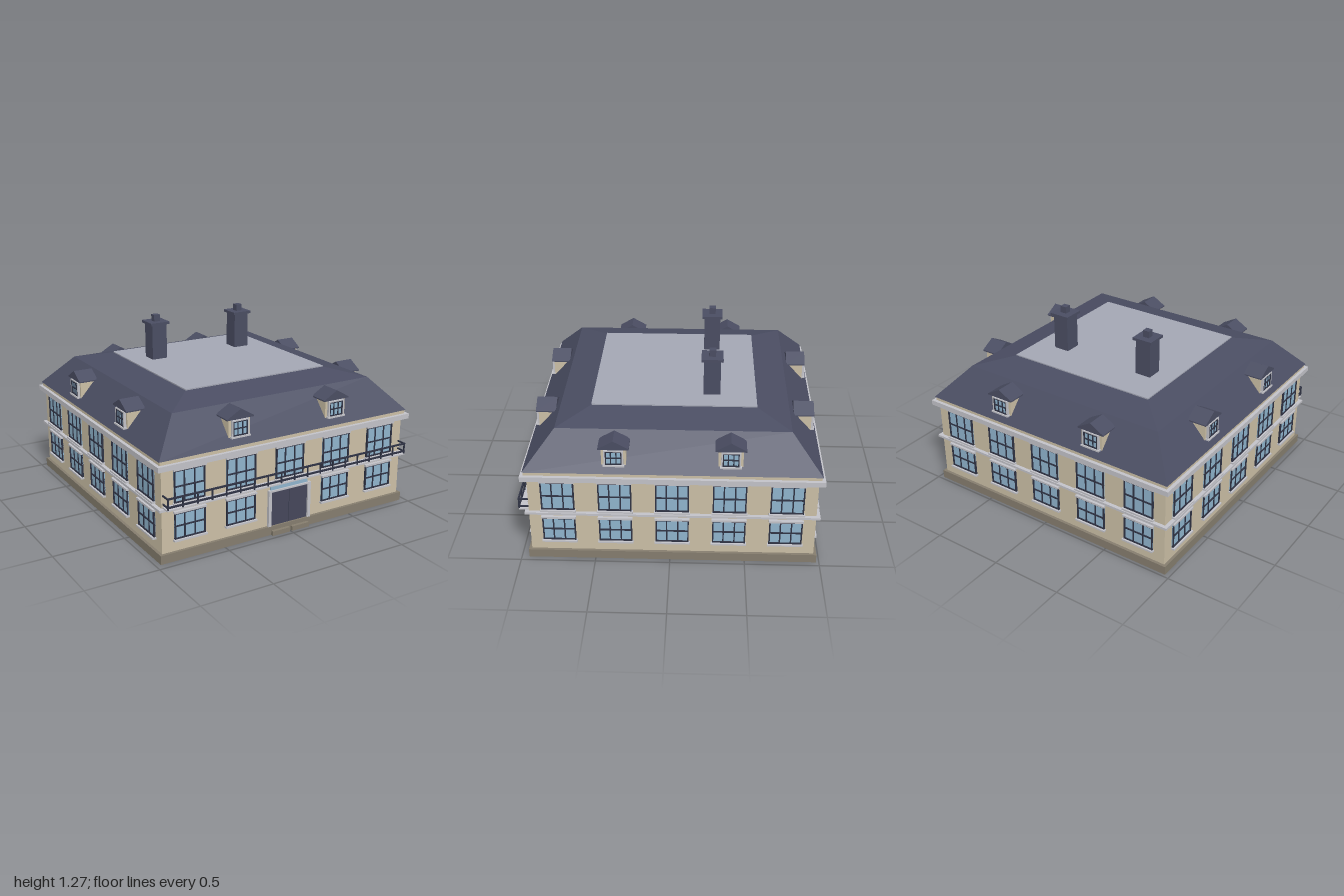
import * as THREE from 'three';

const mat = (name, color) => {
  const m = new THREE.MeshStandardMaterial({ color });
  m.name = name;
  return m;
};

export function createModel() {
  const wall = mat('sandstone', 0xcbbfa6);
  const stone = mat('plinth stone', 0x857d6e);
  const trim = mat('light grey trim', 0xc2c2c8);
  const slate = mat('slate', 0x4a4d62);
  const flat = mat('flat roof', 0xa3a6b3);
  const glass = mat('glass', 0x8fb4cd);
  const iron = mat('dark frame', 0x2f3344);
  const doorMat = mat('door', 0x45475b);

  const model = new THREE.Group();
  model.name = 'mansion';
  const house = new THREE.Group();
  house.name = 'house';
  house.position.z = -0.015;
  model.add(house);

  // Box given by its extents
  const box = (parent, name, m, x0, x1, y0, y1, z0, z1) => {
    const mesh = new THREE.Mesh(new THREE.BoxGeometry(x1 - x0, y1 - y0, z1 - z0), m);
    mesh.position.set((x0 + x1) / 2, (y0 + y1) / 2, (z0 + z1) / 2);
    mesh.name = name;
    parent.add(mesh);
  };
  const slab = (name, m, half, y0, y1) => box(house, name, m, -half, half, y0, y1, -half, half);
  // Four-sided sloping roof tier
  const tier = (name, m, h0, h1, y0, y1) => {
    const g = new THREE.CylinderGeometry(h1 * Math.SQRT2, h0 * Math.SQRT2, y1 - y0, 4)
      .rotateY(Math.PI / 4).toNonIndexed();
    g.computeVertexNormals();
    const mesh = new THREE.Mesh(g, m);
    mesh.position.y = (y0 + y1) / 2;
    mesh.name = name;
    house.add(mesh);
  };

  // Main body
  slab('plinth', stone, 0.965, 0, 0.06);
  slab('walls', wall, 0.945, 0.06, 0.66);
  slab('beltCourse', trim, 0.97, 0.352, 0.368);
  slab('cornice', trim, 0.983, 0.62, 0.655);
  slab('frieze', wall, 0.96, 0.655, 0.68);

  // Mansard roof
  tier('lowerRoof', slate, 0.967, 0.77, 0.68, 0.9);
  tier('upperRoof', slate, 0.77, 0.555, 0.9, 0.952);
  slab('flatRoof', flat, 0.55, 0.945, 0.96);

  // Window facing +z: glass, frame, 3 x 2 panes
  const addWindow = (parent, x, y0, y1, half, z, bar) => {
    const w = new THREE.Group();
    w.name = 'window';
    w.position.x = x;
    parent.add(w);
    box(w, 'pane', glass, -half, half, y0, y1, z - 0.01, z + 0.004);
    const zf = z + 0.012;
    for (const s of [-1, 1]) {
      const e = s * (half - bar / 2);
      box(w, 'frameSide', iron, e - bar / 2, e + bar / 2, y0, y1, z - 0.01, zf);
      box(w, 'mullion', iron, s * half / 3 - bar / 2, s * half / 3 + bar / 2, y0, y1, z, zf - 0.003);
    }
    for (const y of [y0 + bar / 2, (y0 + y1) / 2, y1 - bar / 2])
      box(w, 'frameBar', iron, -half, half, y - bar / 2, y + bar / 2, z, zf - 0.001);
    return w;
  };

  // Dormer with pitched roof
  const addDormer = (parent, x) => {
    const d = new THREE.Group();
    d.name = 'dormer';
    d.position.x = x;
    parent.add(d);
    box(d, 'dormerWall', wall, -0.08, 0.08, 0.722, 0.852, 0.78, 0.925);
    const gable = new THREE.Shape([[-0.1, 0.845], [0.1, 0.845], [0.1, 0.853], [0, 0.91], [-0.1, 0.853]]
      .map(p => new THREE.Vector2(...p)));
    const roof = new THREE.Mesh(
      new THREE.ExtrudeGeometry(gable, { depth: 0.137, bevelEnabled: false }), slate);
    roof.position.z = 0.803;
    roof.name = 'dormerRoof';
    d.add(roof);
    addWindow(d, 0, 0.735, 0.832, 0.053, 0.93, 0.007);
    for (const s of [-1, 1])
      box(d, 'dormerJamb', trim, s * 0.058 - 0.005, s * 0.058 + 0.005, 0.73, 0.837, 0.915, 0.942);
    box(d, 'dormerHead', trim, -0.063, 0.063, 0.832, 0.84, 0.915, 0.942);
    box(d, 'dormerSill', trim, -0.07, 0.07, 0.724, 0.735, 0.915, 0.95);
  };

  // Four facades
  ['front', 'left', 'back', 'right'].forEach((side, i) => {
    const f = new THREE.Group();
    f.name = side + 'Facade';
    f.rotation.y = i * Math.PI / 2;
    house.add(f);
    for (let k = -2; k <= 2; k++) {
      const x = k * 0.375;
      for (const [y0, y1] of [[0.142, 0.318], [0.386, 0.6]]) {
        if (i === 0 && k === 0 && y0 < 0.3) continue;
        addWindow(f, x, y0, y1, 0.11, 0.946, 0.009);
        box(f, 'sill', trim, x - 0.118, x + 0.118, y0 - 0.012, y0, 0.94, 0.97);
        box(f, 'lintel', trim, x - 0.115, x + 0.115, y1, y1 + 0.014, 0.94, 0.966);
      }
    }
    for (const x of [-0.375, 0.375]) addDormer(f, x);
  });

  // Entrance with double door, transom and steps
  const entrance = new THREE.Group();
  entrance.name = 'entrance';
  house.add(entrance);
  for (const s of [-1, 1]) {
    box(entrance, 'doorLeaf', doorMat, s * 0.0735 - 0.0715, s * 0.0735 + 0.0715, 0.06, 0.302, 0.94, 0.954);
    box(entrance, 'doorJamb', trim, s * 0.156 - 0.011, s * 0.156 + 0.011, 0.06, 0.315, 0.94, 0.966);
    box(entrance, 'step', stone, s * 0.077 - 0.068, s * 0.077 + 0.068, 0, 0.032, 0.95, 0.987);
  }
  box(entrance, 'doorGap', iron, -0.003, 0.003, 0.06, 0.302, 0.94, 0.951);
  box(entrance, 'doorHead', trim, -0.167, 0.167, 0.302, 0.314, 0.94, 0.966);
  box(entrance, 'transom', glass, -0.147, 0.147, 0.314, 0.35, 0.94, 0.955);

  // Balcony across the front
  const balcony = new THREE.Group();
  balcony.name = 'balcony';
  house.add(balcony);
  const bx = 0.938;
  box(balcony, 'balconyFloor', trim, -bx, bx, 0.368, 0.378, 0.94, 1.012);
  for (const y of [0.389, 0.445]) {
    box(balcony, 'rail', iron, -bx, bx, y, y + 0.011, 1.005, 1.015);
    for (const s of [-1, 1])
      box(balcony, 'sideRail', iron, s * (bx - 0.004) - 0.004, s * (bx - 0.004) + 0.004, y, y + 0.01, 0.945, 1.006);
  }
  for (let k = 0; k <= 18; k++) {
    const x = -bx + 0.005 + k * (2 * bx - 0.01) / 18;
    box(balcony, 'baluster', iron, x - 0.004, x + 0.004, 0.378, 0.446, 1.006, 1.014);
  }

  // Chimneys
  for (const x of [-0.347, 0.341]) {
    const c = new THREE.Group();
    c.name = 'chimney';
    c.position.set(x, 0, -0.25);
    house.add(c);
    const part = (name, h, y0, y1) => box(c, name, slate, -h, h, y0, y1, -h, h);
    part('stack', 0.057, 0.94, 1.21);
    part('cap', 0.073, 1.21, 1.228);
    part('pot', 0.023, 1.228, 1.275);
  }
  return model;
}
